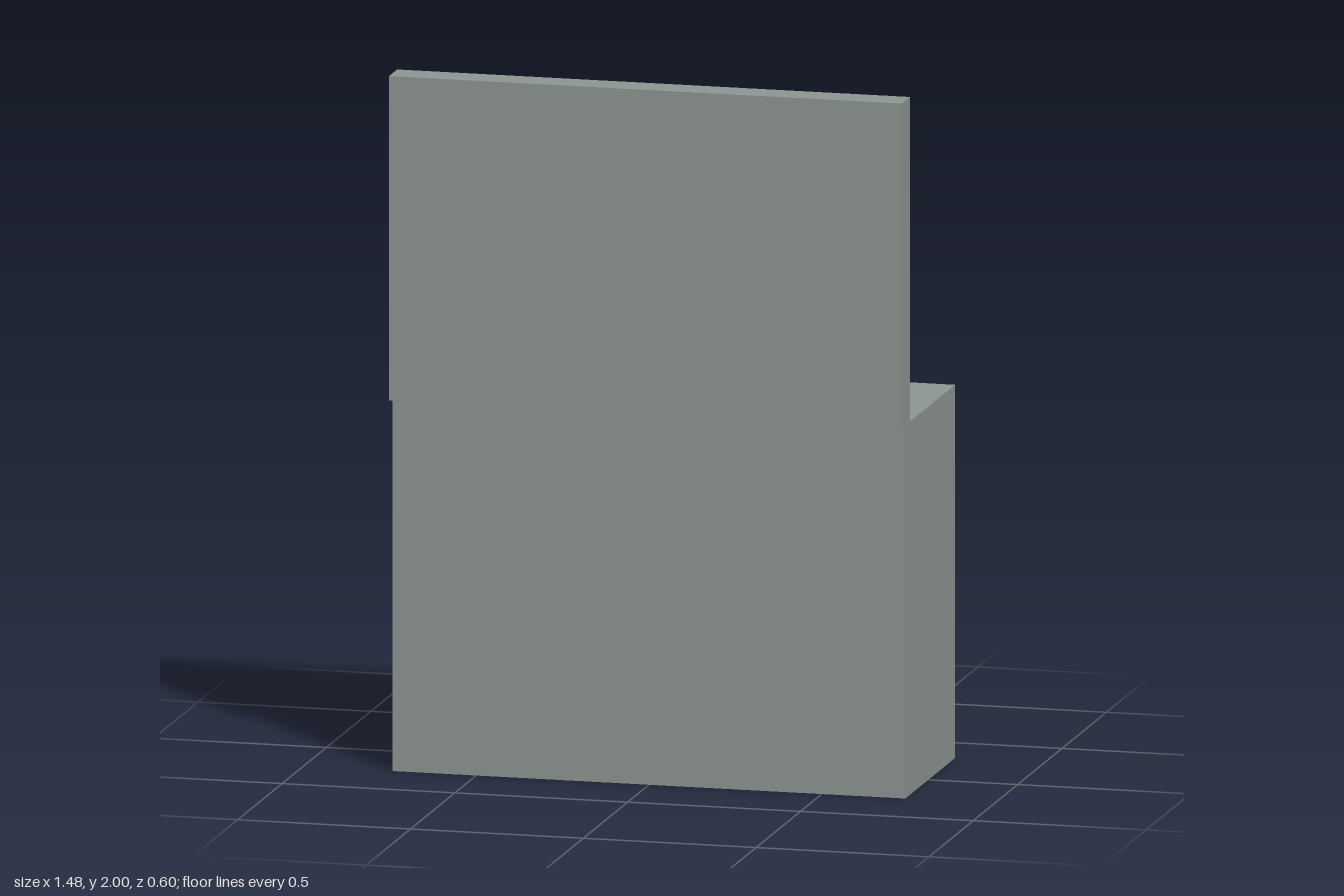
import * as THREE from 'three';

export function createModel() {
  const group = new THREE.Group();
  const greyGreen = new THREE.MeshStandardMaterial({ color: 0x8e9793 });
  greyGreen.name = 'greyGreen';

  const WIDTH = 1.484;

  // A full-width box spanning the given heights and depths
  const addBlock = (name, y0, y1, z0, z1) => {
    const mesh = new THREE.Mesh(new THREE.BoxGeometry(WIDTH, y1 - y0, z1 - z0), greyGreen);
    mesh.position.set(0, (y0 + y1) / 2, (z0 + z1) / 2);
    mesh.name = name;
    group.add(mesh);
  };

  // Solid lower body
  addBlock('base', 0, 1.07, -0.3, 0.26);
  // Thin upright panel overhanging the front edge of the base
  addBlock('uprightPanel', 1.07, 2, 0.208, 0.3);

  return group;
}
